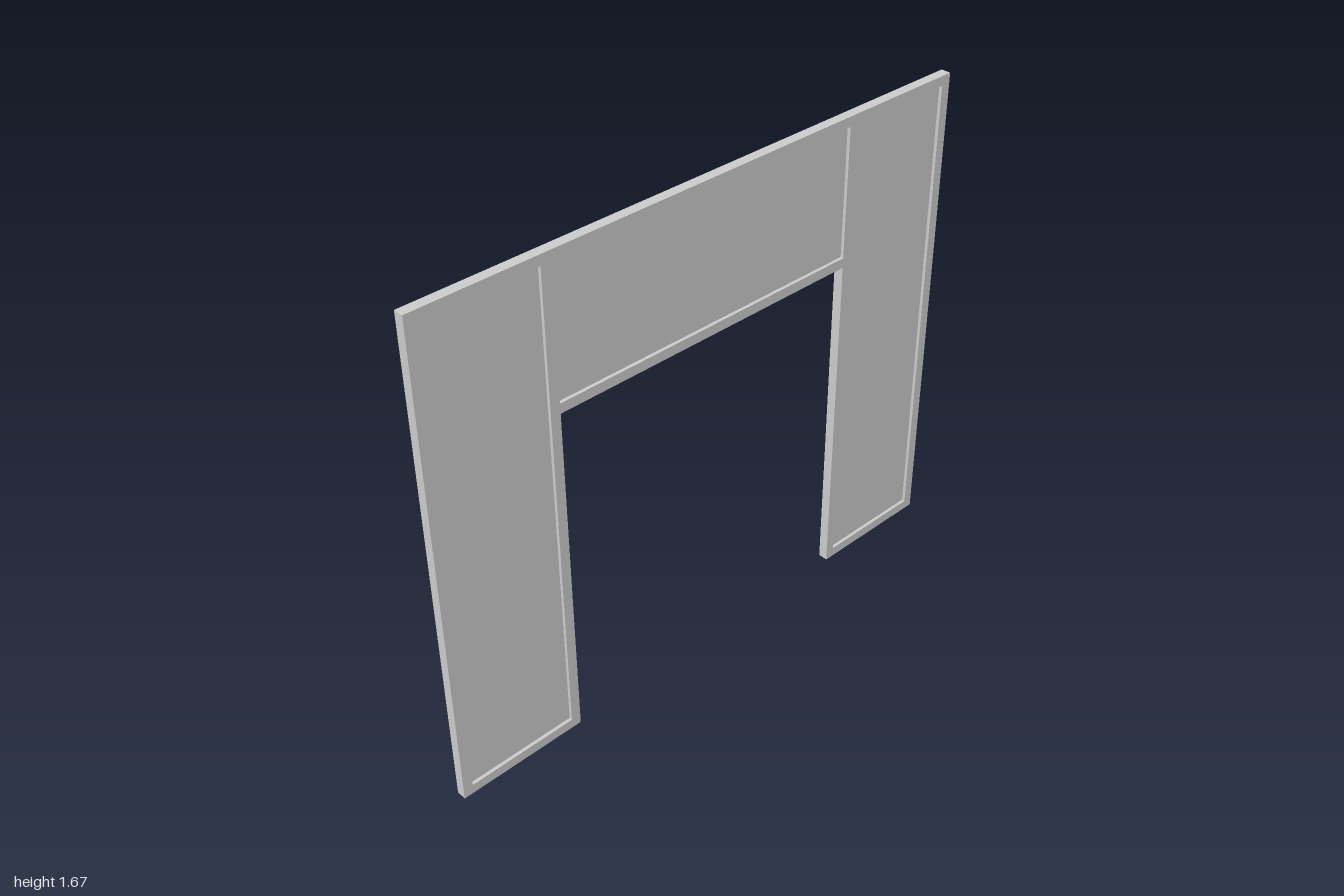
import * as THREE from 'three';

const HEIGHT = 1.667, OPENING_X = 0.556, OPENING_Y = 1.167;
const RAIL = 0.033, DEPTH = 0.033, PANEL_DEPTH = 0.011;

export function createModel() {
  const group = new THREE.Group();
  const material = new THREE.MeshStandardMaterial({ color: 0xcccccc });

  // Recessed fields: two legs and the header, as [name, x0, y0, x1, y1]
  const top = HEIGHT - RAIL;
  const fields = [
    ['rightLegPanel', -1 + RAIL, RAIL, -OPENING_X - RAIL, top],
    ['headerPanel', -OPENING_X, OPENING_Y + RAIL, OPENING_X, top],
    ['leftLegPanel', OPENING_X + RAIL, RAIL, 1 - RAIL, top],
  ];

  // Frame outline around the doorway, with a hole for each field
  const outline = new THREE.Shape([
    [-1, 0], [-OPENING_X, 0], [-OPENING_X, OPENING_Y], [OPENING_X, OPENING_Y],
    [OPENING_X, 0], [1, 0], [1, HEIGHT], [-1, HEIGHT],
  ].map(([x, y]) => new THREE.Vector2(x, y)));

  for (const [name, x0, y0, x1, y1] of fields) {
    outline.holes.push(new THREE.Path([
      new THREE.Vector2(x0, y0), new THREE.Vector2(x0, y1),
      new THREE.Vector2(x1, y1), new THREE.Vector2(x1, y0),
    ]));

    // Thin panel set midway through the frame
    const panel = new THREE.Mesh(new THREE.BoxGeometry(x1 - x0, y1 - y0, PANEL_DEPTH), material);
    panel.position.set((x0 + x1) / 2, (y0 + y1) / 2, 0);
    panel.name = name;
    group.add(panel);
  }

  const geometry = new THREE.ExtrudeGeometry(outline, { depth: DEPTH, bevelEnabled: false });
  geometry.translate(0, 0, -DEPTH / 2);
  const frame = new THREE.Mesh(geometry, material);
  frame.name = 'frame';
  group.add(frame);

  return group;
}
